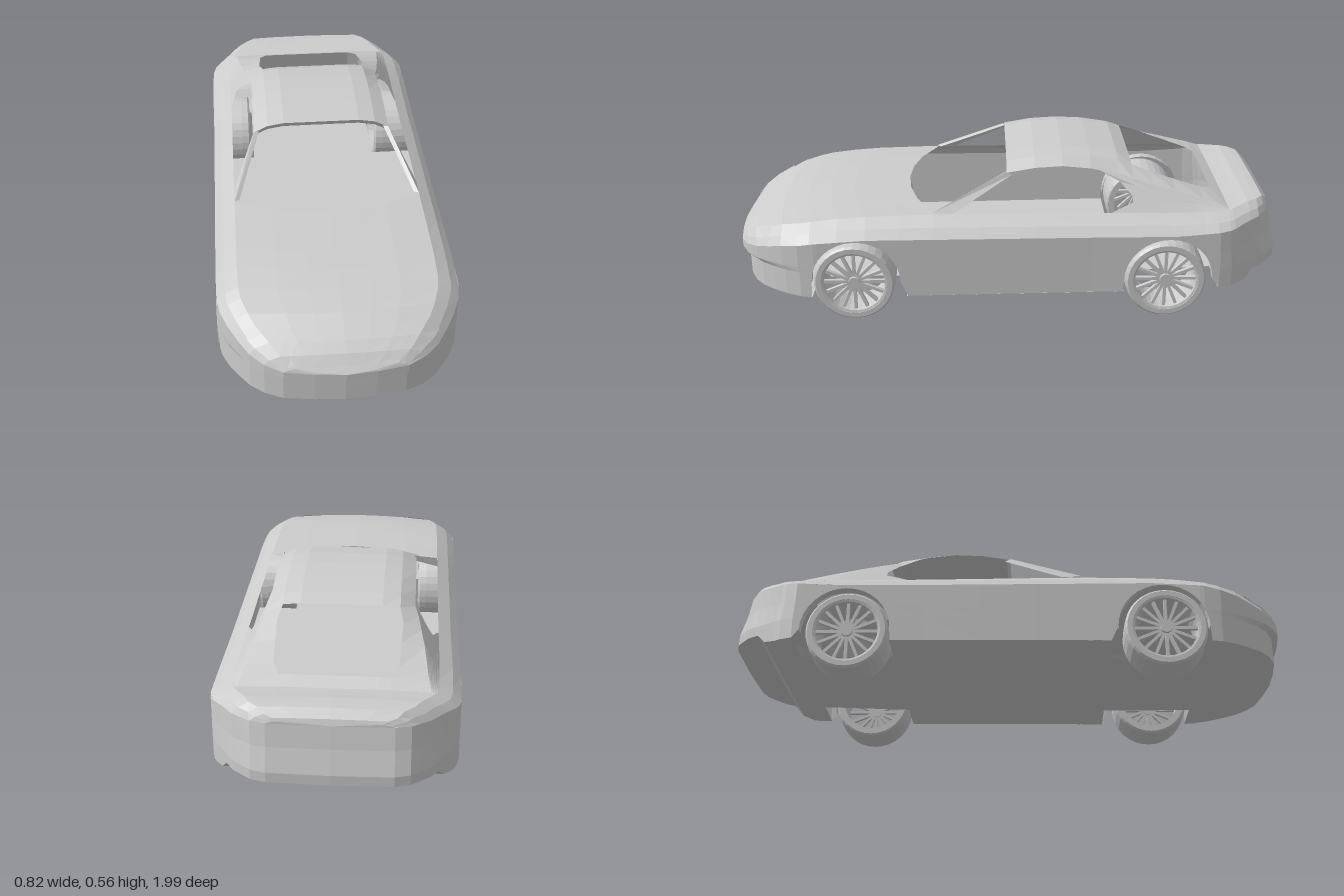
import * as THREE from 'three';

const skin = new THREE.MeshStandardMaterial({ color: 0xcccccc, flatShading: true, side: THREE.DoubleSide });
const V = (x, y, z) => new THREE.Vector3(x, y, z);

// piecewise linear lookup, keys in descending order
function at(table, k) {
  if (k >= table[0][0]) return table[0][1];
  for (let i = 1; i < table.length; i++) {
    const [k0, v0] = table[i - 1], [k1, v1] = table[i];
    if (k >= k1) return v1 + (v0 - v1) * (k - k1) / (k0 - k1);
  }
  return table[table.length - 1][1];
}

// surface through a grid of points
function grid(lines) {
  const pos = [], idx = [], n = lines[0].length;
  lines.forEach(l => l.forEach(p => pos.push(p.x, p.y, p.z)));
  for (let i = 0; i < lines.length - 1; i++) {
    for (let j = 0; j < n - 1; j++) {
      const a = i * n + j, b = a + n;
      idx.push(a, b, a + 1, b, b + 1, a + 1);
    }
  }
  const g = new THREE.BufferGeometry();
  g.setAttribute('position', new THREE.Float32BufferAttribute(pos, 3));
  g.setIndex(idx);
  g.computeVertexNormals();
  return g;
}

const flip = l => l.map(p => V(-p.x, p.y, p.z)).reverse();
const across = l => [...l, ...flip(l)];

// body measures along z
const width = [[0.992, 0], [0.985, 0.1], [0.97, 0.2], [0.94, 0.26], [0.9, 0.305], [0.85, 0.34], [0.8, 0.37], [0.74, 0.395],
  [0.68, 0.406], [-0.3, 0.406], [-0.6, 0.409], [-0.78, 0.405], [-0.82, 0.385], [-0.86, 0.357], [-0.93, 0.312], [-0.98, 0.25], [-0.995, 0.2], [-1, 0]];
const centreY = [[0.992, 0.225], [0.97, 0.245], [0.94, 0.275], [0.9, 0.3], [0.8, 0.34], [0.7, 0.36], [0.55, 0.378], [0.26, 0.387],
  [-0.78, 0.385], [-0.84, 0.392], [-0.9, 0.402], [-0.96, 0.4], [-0.99, 0.375], [-1, 0.355]];
const shoulderY = [[0.992, 0.225], [0.97, 0.23], [0.9, 0.25], [0.8, 0.28], [0.68, 0.303], [0.5, 0.315], [-0.6, 0.32], [-0.8, 0.335], [-0.9, 0.35], [-1, 0.355]];
const bottomY = [[0.99, 0.09], [0.37, 0.095], [-0.41, 0.105], [-0.75, 0.12], [-0.85, 0.115], [-0.89, 0.16], [-1, 0.165]];
const lowerY = [[0.992, 0.185], [0.7, 0.19], [-0.7, 0.19], [-1, 0.2]];
const waistY = [[0.992, 0.2], [0.7, 0.21], [-0.7, 0.25], [-1, 0.28]];
const crown = [[1, 0], [0.93, 0.47], [0.82, 0.9], [0.5, 0.97], [0, 1]];
const noseDepth = [0.91, 0.91, 1, 1], tailDepth = [1, 1, 0.92, 0.87];

const archR = 0.158, archZ = [0.537, -0.573], archCentreY = 0.15;
const arch = z => Math.max(...archZ.map(c => Math.abs(z - c) <= archR + 1e-6
  ? archCentreY + Math.sqrt(Math.max(0, archR ** 2 - (z - c) ** 2)) : 0));
const shiftZ = (z, row) => z > 0.7 ? 0.7 + (z - 0.7) * noseDepth[row] : z < -0.7 ? -0.7 + (z + 0.7) * tailDepth[row] : z;

function wallLine(z) {
  const low = Math.max(at(bottomY, z), arch(z)), w = at(width, z);
  return [low, at(lowerY, z), at(waistY, z), at(shoulderY, z)].map((y, r) => V(w, Math.max(y, low), shiftZ(z, r)));
}
function topPoint(z, t) {
  const s = at(shoulderY, z), y = s + (at(centreY, z) - s) * at(crown, t);
  const bend = z > 0 && t < 0.82 ? 0.1 * (0.992 - z) / 0.732 * (1 - (t / 0.82) ** 2) : 0;
  return V(at(width, z) * t, y, shiftZ(z, 3) + bend);
}

// cabin measures along z
const railX = [[0, 0.25], [-0.4, 0.25], [-0.45, 0.262], [-0.6, 0.285], [-0.745, 0.3], [-0.79, 0.31]];
const railY = [[0, 0.502], [-0.1, 0.52], [-0.2, 0.526], [-0.3, 0.516], [-0.4, 0.495], [-0.45, 0.482], [-0.6, 0.442], [-0.745, 0.402], [-0.79, 0.385]];
const innerX = [[0, 0.2], [-0.4, 0.2], [-0.45, 0.2], [-0.52, 0.212], [-0.7, 0.204], [-0.745, 0.18], [-0.79, 0.18]];
const innerY = [[0, 0.527], [-0.1, 0.545], [-0.2, 0.551], [-0.3, 0.546], [-0.4, 0.53], [-0.45, 0.512], [-0.6, 0.458], [-0.745, 0.408], [-0.79, 0.388]];
const ridgeY = [[0, 0.537], [-0.1, 0.556], [-0.2, 0.562], [-0.3, 0.556], [-0.4, 0.54], [-0.45, 0.518], [-0.745, 0.409], [-0.79, 0.388]];
const rail = z => V(at(railX, z), at(railY, z), z);
const inner = z => V(at(innerX, z), at(innerY, z), z);
const roofLine = z => across([rail(z), inner(z), V(0.14, at(ridgeY, z), z)]);

function makeWheel() {
  const wheel = new THREE.Group();
  const put = (name, geo) => {
    const m = new THREE.Mesh(geo, skin);
    m.name = name;
    wheel.add(m);
    return m;
  };
  const ring = pts => new THREE.LatheGeometry(pts.map(p => new THREE.Vector2(...p)), 32);
  put('tyre', ring([[0.118, -0.073], [0.136, -0.073], [0.143, -0.066], [0.145, -0.04], [0.145, 0.04], [0.143, 0.066], [0.136, 0.074], [0.118, 0.074], [0.118, -0.073]]));
  put('rim', ring([[0.118, -0.07], [0.112, -0.07], [0.108, 0.04], [0.11, 0.07], [0.118, 0.072]]));
  put('hub', new THREE.CylinderGeometry(0.02, 0.024, 0.03, 16)).position.y = 0.052;
  const count = 16;
  for (let i = 0; i < count; i++) {
    const a = i / count * Math.PI * 2;
    const s = put('spoke', new THREE.BoxGeometry(0.096, 0.014, 0.011));
    s.position.set(Math.cos(a) * 0.064, 0.052, -Math.sin(a) * 0.064);
    s.rotation.y = a;
  }
  wheel.rotation.z = -Math.PI / 2;
  return wheel;
}

export function createModel() {
  const car = new THREE.Group();
  car.name = 'car';
  const add = (name, lines) => {
    const m = new THREE.Mesh(grid(lines), skin);
    m.name = name;
    car.add(m);
  };
  const pair = (name, lines) => {
    add(name + 'Left', lines);
    add(name + 'Right', lines.map(flip));
  };

  // stations along the body, denser over the wheel arches
  const nose = [0.992, 0.985, 0.97, 0.94, 0.9, 0.85, 0.8, 0.74];
  const tail = [-0.8, -0.82, -0.86, -0.89, -0.93, -0.96, -0.98, -0.99, -0.995, -1];
  const arches = archZ.map(c => Array.from({ length: 17 }, (_, i) => c + archR * Math.cos(i / 16 * Math.PI)));
  const archSpan = i => [archZ[i] + archR + 0.003, ...arches[i], archZ[i] - archR - 0.025];
  const middle = [0.26, 0.1, -0.1, -0.3];
  const stations = [...nose, ...archSpan(0), ...middle, ...archSpan(1), ...tail];

  // bodywork
  pair('sidePanel', stations.map(wallLine));
  const ts = [1, 0.93, 0.82, 0.5, 0.25];
  const topLine = z => {
    const half = ts.map(t => topPoint(z, t));
    return [...half, topPoint(z, 0), ...flip(half)];
  };
  add('bonnet', [...nose, 0.695, 0.6, 0.5, 0.379, 0.26].map(topLine));
  add('rearDeck', tail.map(topLine));
  pair('beltLine', [...middle, -0.42, -0.57, -0.7, -0.75, -0.8].map(z => [1, 0.93, 0.82].map(t => topPoint(z, t))));

  // rolled-in arch edges
  arches.forEach((zs, i) => pair(i ? 'rearArchLip' : 'frontArchLip', zs.map(z => {
    const w = at(width, z), y = arch(z);
    return [V(w, y, z), V(w - 0.035, y, z)];
  })));

  // floor, notched around the wheels
  const floorLine = (z, w = at(width, z)) => [V(w, at(bottomY, z), shiftZ(z, 0)), V(-w, at(bottomY, z), shiftZ(z, 0))];
  const notch = c => [floorLine(c + archR), floorLine(c + archR, 0.25), floorLine(c - archR - 0.02, 0.25), floorLine(c - archR - 0.02)];
  add('floor', [...nose.map(z => floorLine(z)), ...notch(archZ[0]), ...notch(archZ[1]), ...tail.map(z => floorLine(z))]);

  // headlights lying on the nose
  const lamp = [[0.965, 0.15, 0.2], [0.94, 0.14, 0.24], [0.9, 0.15, 0.285], [0.87, 0.165, 0.308], [0.84, 0.22, 0.315]];
  pair('headlight', lamp.map(([z, x0, x1]) => [0, 0.33, 0.66, 1].map(f =>
    topPoint(z, (x1 + (x0 - x1) * f) / at(width, z)).add(V(0, 0.003, 0.003)))));

  // roof and front header
  const roofZ = [0, -0.1, -0.2, -0.3, -0.4, -0.45];
  add('roof', roofZ.map(roofLine));
  add('windscreenHeader', [roofLine(0), roofLine(0).map(p => p.add(V(0, -0.02, -0.012)))]);
  pair('windscreenPillar', [
    [V(0.334, 0.382, 0.19), V(0.332, 0.385, 0.265), V(0.315, 0.383, 0.255)],
    [rail(0).add(V(0, -0.006, -0.02)), rail(0).add(V(0, 0.004, 0.004)), V(0.232, 0.505, -0.005)],
  ]);

  // rear quarter with the back edge of the side window
  const windowEdge = [[1, -0.33], [0.8, -0.405], [0.5, -0.445], [0.3, -0.448], [0, -0.37]];
  const quarter = [0, 0.1, 0.3, 0.5, 0.8, 1].map(f => [0, 0.15, 0.3, 0.5, 0.7, 0.88, 1].map(s => {
    const z0 = at(windowEdge, f), z = z0 + (-0.79 - z0) * s;
    const b = topPoint(z, 0.82);
    b.z = z;
    return b.lerp(rail(z), f);
  }));
  pair('rearQuarter', quarter);

  // frame of the rear window
  pair('rearWindowFrame', [-0.45, -0.52, -0.6, -0.7, -0.745].map(z => [rail(z), inner(z)]));
  add('rearWindowSill', [roofLine(-0.745), roofLine(-0.79)]);

  // wheels
  for (const [name, z] of [['front', 0.545], ['rear', -0.565]]) {
    for (const side of [1, -1]) {
      const g = new THREE.Group();
      g.name = name + (side > 0 ? 'Left' : 'Right') + 'Wheel';
      g.add(makeWheel());
      g.position.set(side * 0.334, 0.147, z);
      if (side < 0) g.rotation.y = Math.PI;
      car.add(g);
    }
  }
  return car;
}
